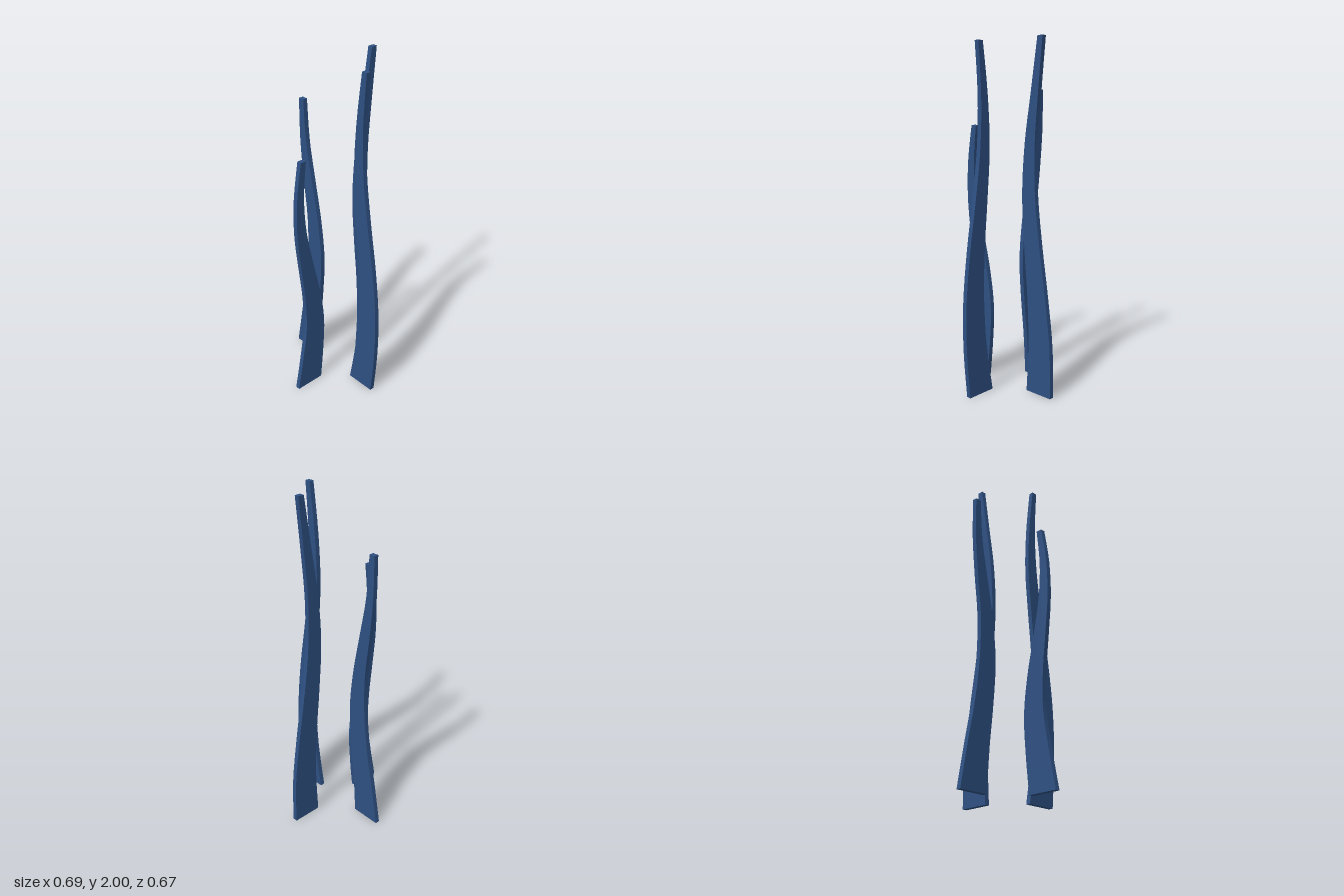
import * as THREE from 'three';
import { toCreasedNormals } from 'three/addons/utils/BufferGeometryUtils.js';

const THICKNESS = 0.027;

// Smooth edge through offsets spaced evenly from the base to the tip
function edge(offsets, height) {
  const last = offsets.length - 1;
  const points = offsets.map((x, i) => new THREE.Vector2(x, (height * i) / last));
  return new THREE.SplineCurve(points).getPoints(28);
}

// Wavy tapering blade cut from a thin flat sheet, between a low and a high edge
function makeBlade(name, height, low, high, material) {
  const outline = new THREE.Shape([...edge(high, height), ...edge(low, height).reverse()]);
  const sheet = new THREE.ExtrudeGeometry(outline, { depth: THICKNESS, bevelEnabled: false });
  const mesh = new THREE.Mesh(toCreasedNormals(sheet, Math.PI / 6), material);
  mesh.name = name;
  return mesh;
}

// Turn a blade so that its offsets run along z
function turn(blade) {
  blade.rotation.y = -Math.PI / 2;
  blade.position.x = 0.02;
  return blade;
}

export function createModel() {
  const group = new THREE.Group();
  group.name = 'wavyBlades';
  const blue = new THREE.MeshStandardMaterial({ color: 0x2e5082 });

  // Side blades, facing the front
  group.add(makeBlade('rightBlade', 1.7,
    [-0.35, -0.307, -0.261, -0.234, -0.232, -0.259, -0.28, -0.282],
    [-0.172, -0.156, -0.131, -0.117, -0.141, -0.186, -0.23, -0.247], blue));
  group.add(makeBlade('leftBlade', 1.975,
    [0.14, 0.186, 0.204, 0.196, 0.172, 0.153, 0.166, 0.2],
    [0.318, 0.341, 0.339, 0.308, 0.262, 0.224, 0.215, 0.233], blue));

  // Front and back blades, edge-on to the front
  group.add(turn(makeBlade('frontBlade', 1.5,
    [0.16, 0.139, 0.13, 0.158, 0.206, 0.249, 0.262, 0.243],
    [0.338, 0.297, 0.265, 0.27, 0.294, 0.315, 0.31, 0.278], blue)));
  group.add(turn(makeBlade('backBlade', 2,
    [-0.333, -0.327, -0.291, -0.246, -0.211, -0.206, -0.228, -0.255],
    [-0.157, -0.17, -0.159, -0.134, -0.117, -0.134, -0.177, -0.22], blue)));
  return group;
}
